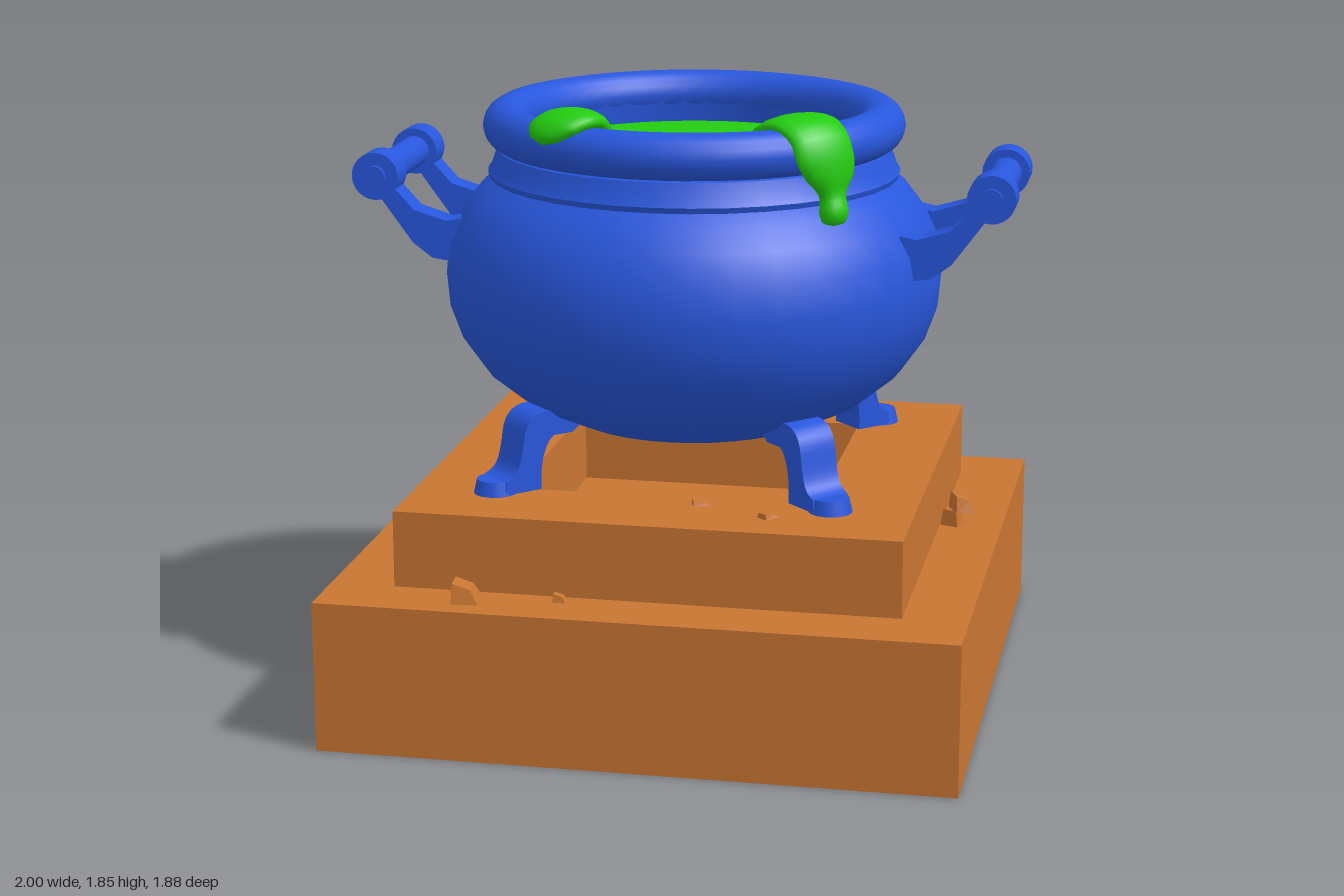
import * as THREE from 'three';
import { toCreasedNormals } from 'three/addons/utils/BufferGeometryUtils.js';

const blue = new THREE.MeshStandardMaterial({ color: 0x2857dd });
const green = new THREE.MeshStandardMaterial({ color: 0x24cb10 });
const clay = new THREE.MeshStandardMaterial({ color: 0xc87533 });
const V2 = (p) => p.map(([x, y]) => new THREE.Vector2(x, y));

function add(parent, name, geo, mat, x = 0, y = 0, z = 0) {
  const m = new THREE.Mesh(geo, mat);
  m.name = name;
  m.position.set(x, y, z);
  parent.add(m);
  return m;
}

const lathe = (pts, crease = 0.6) => toCreasedNormals(new THREE.LatheGeometry(V2(pts), 36), crease);

// Extrudes an outline in x/y, centred on z
function slab(shape, depth) {
  const g = new THREE.ExtrudeGeometry(shape, { depth, bevelEnabled: false, curveSegments: 10 });
  g.translate(0, 0, -depth / 2);
  return toCreasedNormals(g, 0.6);
}

// Sweeps an ellipse along rows of [radius, height, side offset, half width, half thickness]
function slime(rows) {
  const path = new THREE.CatmullRomCurve3(rows.map((r) => new THREE.Vector3(r[0], r[1], r[2])));
  const size = new THREE.CatmullRomCurve3(rows.map((r) => new THREE.Vector3(r[3], r[4], 0)));
  const N = 36, M = 16, pos = [], idx = [];
  for (let i = 0; i <= N; i++) {
    const c = path.getPoint(i / N), s = size.getPoint(i / N), d = path.getTangent(i / N);
    const len = Math.hypot(d.x, d.y);
    for (let j = 0; j < M; j++) {
      const a = (j / M) * Math.PI * 2, h = (Math.sin(a) * s.y) / len;
      pos.push(c.x - d.y * h, c.y + d.x * h, c.z + Math.cos(a) * s.x);
      if (i < N) {
        const k = i * M + j, l = i * M + ((j + 1) % M);
        idx.push(k, k + M, l, l, k + M, l + M);
      }
    }
  }
  const g = new THREE.BufferGeometry();
  g.setAttribute('position', new THREE.Float32BufferAttribute(pos, 3));
  g.setIndex(idx);
  g.computeVertexNormals();
  return g;
}

// Box with a shrunken, shifted top
function chip(w, h, d) {
  const g = new THREE.BoxGeometry(w, h, d).toNonIndexed();
  const p = g.attributes.position;
  for (let i = 0; i < p.count; i++) {
    if (p.getY(i) < 0) continue;
    const left = p.getX(i) < 0;
    p.setXYZ(i, p.getX(i) * 0.65 - w * 0.12, p.getY(i) - (left ? 0 : h * 0.3), p.getZ(i) * 0.75);
  }
  g.computeVertexNormals();
  return g;
}

export function createModel() {
  const model = new THREE.Group();

  // Stepped plinth; the upper step is a square frame
  const plinth = new THREE.Group();
  plinth.name = 'plinth';
  model.add(plinth);
  add(plinth, 'lowerStep', new THREE.BoxGeometry(1.885, 0.455, 1.885), clay, 0, 0.2275, 0);
  const square = (s) => V2([[-s, -s], [s, -s], [s, s], [-s, s]]);
  const frame = new THREE.Shape(square(0.75));
  frame.holes.push(new THREE.Path(square(0.45)));
  add(plinth, 'upperStep', slab(frame, 0.23), clay, 0, 0.57, 0).rotation.x = -Math.PI / 2;

  // Loose chips: x, floor y, z, width, height, depth, turn
  for (const [x, y, z, w, h, d, turn] of [
    [-0.51, 0.455, 0.83, 0.08, 0.06, 0.09, 0.1],
    [-0.24, 0.455, 0.79, 0.04, 0.025, 0.03, 0],
    [0.8, 0.455, -0.33, 0.06, 0.055, 0.09, 0.4],
    [0.79, 0.455, -0.18, 0.06, 0.05, 0.06, 1.2],
    [0.12, 0.685, 0.51, 0.05, 0.015, 0.04, 0.3],
    [0.335, 0.685, 0.595, 0.05, 0.015, 0.04, 0.9],
  ]) add(plinth, 'chip', chip(w, h, d), clay, x, y + h / 2, z).rotation.y = turn;

  // Pot: belly, collar, rim, inner wall, liquid
  const pot = new THREE.Group();
  pot.name = 'pot';
  model.add(pot);
  add(pot, 'belly', lathe([[0, 0.785], [0.2, 0.797], [0.38, 0.832], [0.53, 0.9], [0.64, 0.99], [0.71, 1.09],
    [0.746, 1.19], [0.755, 1.29], [0.74, 1.39], [0.7, 1.475], [0.65, 1.54], [0.6, 1.58]]), blue);
  add(pot, 'collar', lathe([[0.59, 1.57], [0.618, 1.575], [0.624, 1.592], [0.612, 1.61], [0.595, 1.66], [0.55, 1.68]], 0.8), blue);
  const rim = new THREE.TorusGeometry(0.567, 0.07, 16, 48);
  rim.rotateX(Math.PI / 2);
  add(pot, 'rim', rim, blue, 0, 1.73, 0);
  add(pot, 'innerWall', lathe([[0.5, 1.73], [0.515, 1.6]]), blue);
  const liquid = new THREE.CircleGeometry(0.515, 48);
  liquid.rotateX(-Math.PI / 2);
  add(pot, 'liquid', liquid, green, 0, 1.645, 0);

  // Four curved legs on the diagonals
  const legShape = new THREE.Shape();
  legShape.moveTo(0.44, 0.88);
  legShape.bezierCurveTo(0.5, 0.93, 0.62, 0.96, 0.645, 0.87);
  legShape.bezierCurveTo(0.66, 0.79, 0.66, 0.745, 0.71, 0.73);
  legShape.lineTo(0.715, 0.69);
  legShape.lineTo(0.59, 0.69);
  legShape.bezierCurveTo(0.595, 0.76, 0.58, 0.83, 0.545, 0.85);
  legShape.lineTo(0.48, 0.85);
  const legGeo = slab(legShape, 0.125);
  const toeGeo = new THREE.CylinderGeometry(0.055, 0.065, 0.043, 20);
  for (let i = 0; i < 4; i++) {
    const leg = new THREE.Group();
    leg.name = 'leg';
    leg.rotation.y = Math.PI / 4 + (i * Math.PI) / 2;
    add(leg, 'shank', legGeo, blue);
    add(leg, 'toe', toeGeo, blue, 0.712, 0.708, 0);
    model.add(leg);
  }

  // Two side handles: a pair of brackets carrying a bar
  const arm = new THREE.Shape(V2([[0.66, 1.33], [0.69, 1.326], [0.755, 1.335], [0.815, 1.38], [0.925, 1.53],
    [0.87, 1.545], [0.81, 1.48], [0.71, 1.45], [0.66, 1.46]]));
  const armGeo = slab(arm, 0.088);
  const rod = (r, len, n = 24) => new THREE.CylinderGeometry(r, r, len, n).rotateX(Math.PI / 2);
  for (const turn of [0, Math.PI]) {
    const handle = new THREE.Group();
    handle.name = 'handle';
    handle.rotation.y = turn;
    for (const z of [-0.212, 0.212]) {
      add(handle, 'bracketArm', armGeo, blue, 0, 0, z);
      add(handle, 'bracketEye', rod(0.072, 0.095), blue, 0.928, 1.578, z);
    }
    add(handle, 'bar', rod(0.048, 0.36), blue, 0.928, 1.578, 0);
    add(handle, 'pin', rod(0.034, 0.55, 16), blue, 0.928, 1.578, 0);
    model.add(handle);
  }

  // Slime spilling over the rim
  add(pot, 'longDrip', slime([
    [0.42, 1.63, 0, 0.12, 0.015], [0.43, 1.7, 0, 0.13, 0.03], [0.485, 1.785, 0, 0.12, 0.032],
    [0.567, 1.808, 0, 0.11, 0.03], [0.632, 1.775, -0.005, 0.1, 0.035], [0.655, 1.72, -0.01, 0.1, 0.034],
    [0.66, 1.67, -0.02, 0.085, 0.034], [0.665, 1.61, -0.03, 0.042, 0.03], [0.672, 1.565, -0.03, 0.045, 0.038],
    [0.672, 1.535, -0.03, 0.035, 0.028], [0.672, 1.525, -0.03, 0.001, 0.001],
  ]), green).rotation.y = -Math.PI / 4;
  add(pot, 'shortDrip', slime([
    [0.465, 1.65, -0.01, 0.001, 0.001], [0.46, 1.68, -0.01, 0.06, 0.025], [0.46, 1.75, 0, 0.075, 0.032],
    [0.5, 1.8, 0, 0.085, 0.035], [0.567, 1.815, 0, 0.095, 0.033], [0.625, 1.795, 0.015, 0.085, 0.032],
    [0.65, 1.765, 0.025, 0.05, 0.025], [0.655, 1.75, 0.025, 0.001, 0.001],
  ]), green).rotation.y = THREE.MathUtils.degToRad(-118);

  return model;
}
